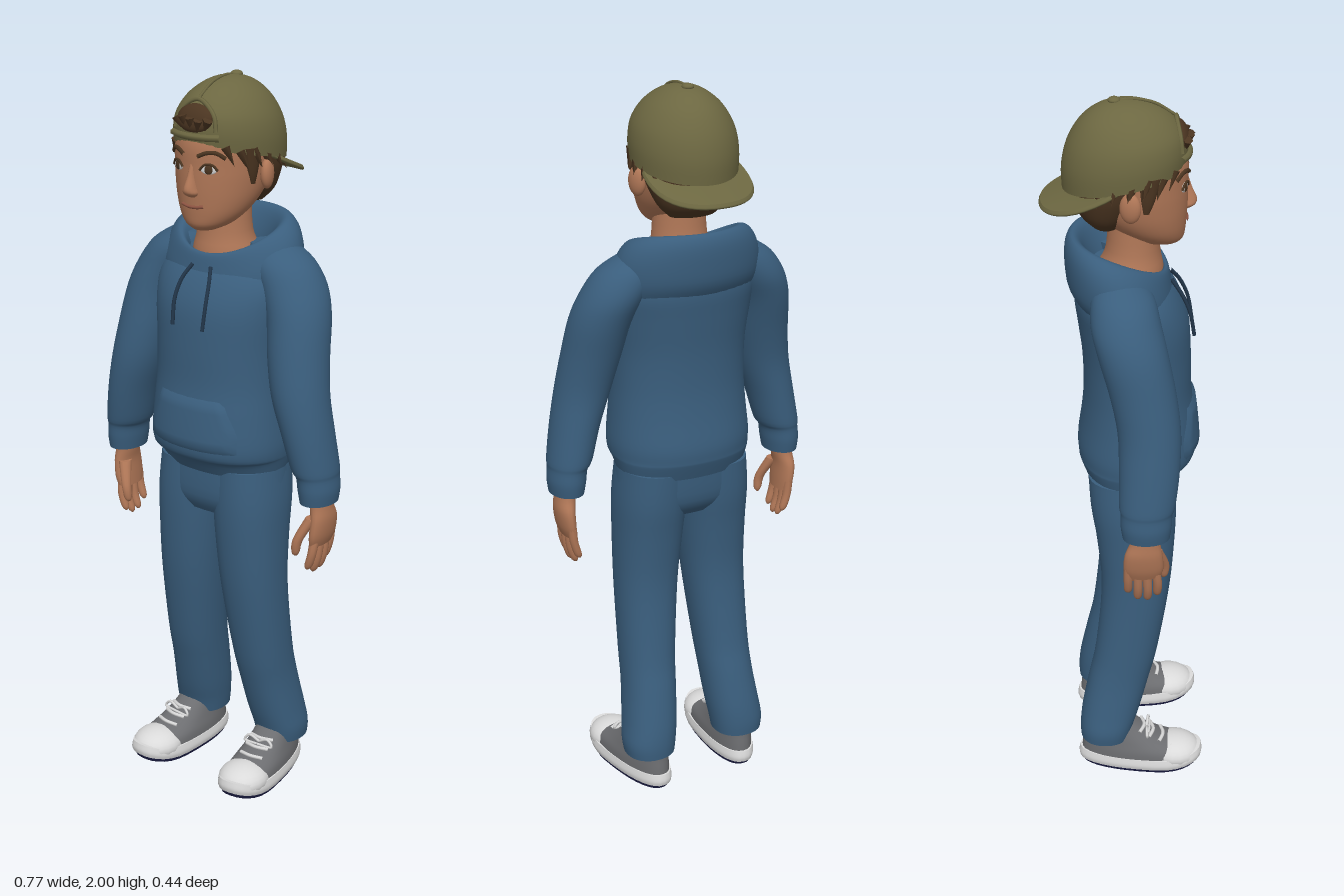
import * as THREE from 'three';

const paint = (name, color) => Object.assign(new THREE.MeshStandardMaterial({ color }), { name });

// Smooths a list of sections [y, cx, cz, rx, rz] with a Catmull-Rom rule.
function smooth(secs, sub = 4) {
  const out = [], last = secs.length - 1;
  for (let i = 0; i < last; i++) {
    const [a, b, c, d] = [Math.max(i - 1, 0), i, i + 1, Math.min(i + 2, last)].map(k => secs[k]);
    for (let k = 0; k < sub; k++) {
      const t = k / sub;
      out.push(b.map((v, q) => v + 0.5 * t * (c[q] - a[q] + t * (2 * a[q] - 5 * v + 4 * c[q] - d[q]
        + t * (3 * (v - c[q]) + d[q] - a[q])))));
    }
  }
  return [...out, secs[last]];
}

// Lofts rounded cross-sections, bottom to top; bend(v) may move each vertex.
function loft(secs, { n = 32, pow = 2, bend = null, caps = true, sub = 4 } = {}) {
  const rows = smooth(secs, sub), pos = [], idx = [], v = new THREE.Vector3();
  const put = (x, y, z) => { v.set(x, y, z); if (bend) bend(v); pos.push(v.x, v.y, v.z); };
  const round = c => Math.sign(c) * Math.abs(c) ** (2 / pow);
  const ring = ([y, cx, cz, rx, rz]) => {
    for (let j = 0; j < n; j++) {
      const t = j / n * Math.PI * 2;
      put(cx + rx * round(Math.cos(t)), y, cz + rz * round(Math.sin(t)));
    }
  };
  rows.forEach(ring);
  for (let i = 0; i < rows.length - 1; i++) for (let j = 0; j < n; j++) {
    const a = i * n + j, b = i * n + (j + 1) % n;
    idx.push(a, a + n, b, b, a + n, b + n);
  }
  if (caps) [rows[0], rows[rows.length - 1]].forEach((s, top) => {
    const base = pos.length / 3;
    ring(s);
    put(s[1], s[0], s[2]);
    for (let j = 0; j < n; j++) {
      const a = base + j, b = base + (j + 1) % n;
      idx.push(base + n, top ? b : a, top ? a : b);
    }
  });
  return finish(pos, idx);
}

function finish(pos, idx) {
  const g = new THREE.BufferGeometry();
  g.setAttribute('position', new THREE.Float32BufferAttribute(pos, 3));
  g.setIndex(idx);
  g.computeVertexNormals();
  return g;
}

// Front surface point of a loft at (x, y), pushed out by off.
function onFront(secs, x, y, off = 0, pow = 2) {
  const rows = smooth(secs);
  const i = Math.max(1, rows.findIndex(r => r[0] >= y)), a = rows[i - 1], b = rows[i];
  const s = a.map((q, k) => q + (b[k] - q) * (y - a[0]) / (b[0] - a[0]));
  const u = Math.min(0.98, Math.abs((x - s[1]) / s[3]));
  return new THREE.Vector3(x, y, s[2] + s[4] * (1 - u ** pow) ** (1 / pow) + off);
}

const tube = (pts, r, seg = 16) => new THREE.TubeGeometry(new THREE.CatmullRomCurve3(pts), seg, r, 6);
const V = (x, y, z) => new THREE.Vector3(x, y, z);

export function createModel() {
  const root = new THREE.Group();
  root.name = 'boy';
  const blue = paint('blue cloth', 0x3a5e7d), olive = paint('olive cloth', 0x6c6741), skin = paint('skin', 0xb07757),
    brown = paint('brown hair', 0x4b3521), grey = paint('grey canvas', 0x6c6d70), white = paint('white rubber', 0xdadada),
    navy = paint('navy', 0x1d1f48), lip = paint('lip', 0x8f5543), cord = paint('dark cord', 0x22364a);
  const add = (name, geo, mat, parent = root) => {
    const m = new THREE.Mesh(geo, mat);
    m.name = name;
    parent.add(m);
    return m;
  };
  const ball = (name, mat, p, r, parent = root) => {
    const m = add(name, new THREE.SphereGeometry(1, 20, 14), mat, parent);
    m.position.set(...p);
    m.scale.set(...r);
    return m;
  };

  // Sweater body with a gathered hem
  const torso = [[0.945, 0, 0.015, 0.183, 0.125], [0.985, 0, 0.02, 0.194, 0.145], [1.0, 0, 0.03, 0.198, 0.158],
    [1.04, 0, 0.033, 0.2, 0.162], [1.12, 0, 0.035, 0.193, 0.153], [1.2, 0, 0.033, 0.187, 0.145],
    [1.3, 0, 0.03, 0.187, 0.145], [1.4, 0, 0.02, 0.197, 0.147], [1.47, 0, 0.003, 0.2, 0.138],
    [1.52, 0, -0.012, 0.175, 0.115], [1.55, 0, -0.02, 0.12, 0.075]];
  add('hoodieBody', loft(torso, { n: 40, pow: 2.2 }), blue);

  // Hood lying around the neck, low at the front and high behind
  const hood = [[1.45, 0, -0.02, 0.18, 0.1], [1.5, 0, -0.015, 0.205, 0.135], [1.56, 0, -0.015, 0.207, 0.143],
    [1.61, 0, -0.018, 0.188, 0.138], [1.637, 0, -0.015, 0.158, 0.126], [1.625, 0, -0.01, 0.132, 0.108],
    [1.57, 0, -0.005, 0.105, 0.09], [1.5, 0, 0, 0.09, 0.08]];
  add('hood', loft(hood, { n: 40, caps: false, bend: v => {
    const f = THREE.MathUtils.clamp((v.z + 0.15) / 0.27, 0, 1.1);
    v.y -= 0.1 * f * f;
  } }), blue).material.side = THREE.DoubleSide;

  // Front pocket laid over the body
  const pos = [], idx = [], cols = 16, rows = 8;
  for (let i = 0; i <= rows; i++) for (let j = 0; j <= cols; j++) {
    const y = 1.02 + 0.155 * i / rows, half = i < 3 ? 0.15 : 0.15 - 0.045 * (i - 3) / 5;
    const edge = i === 0 || i === rows || j === 0 || j === cols;
    pos.push(...onFront(torso, half * (2 * j / cols - 1), y, edge ? -0.004 : 0.008, 2.2).toArray());
    if (i < rows && j < cols) {
      const a = i * (cols + 1) + j, b = a + cols + 1;
      idx.push(a, a + 1, b, b, a + 1, b + 1);
    }
  }
  add('pocket', finish(pos, idx), blue);

  // Hips
  add('hips', loft([[0.82, 0, 0.025, 0.17, 0.09], [0.87, 0, 0.02, 0.19, 0.118], [0.97, 0, 0.015, 0.186, 0.122]],
    { pow: 2.3 }), blue);

  // Neck and chest, then the head
  add('neck', loft([[1.47, 0, 0, 0.1, 0.1], [1.54, 0, 0.012, 0.092, 0.088], [1.6, 0, 0.02, 0.075, 0.07],
    [1.72, 0, 0.02, 0.07, 0.065]]), skin);
  const head = [[1.613, 0, 0.1, 0.03, 0.035], [1.628, 0, 0.085, 0.06, 0.065], [1.655, 0, 0.065, 0.086, 0.09],
    [1.69, 0, 0.045, 0.104, 0.113], [1.73, 0, 0.03, 0.115, 0.13], [1.78, 0, 0.02, 0.122, 0.14],
    [1.85, 0, 0.01, 0.124, 0.146], [1.92, 0, 0, 0.1, 0.11], [1.97, 0, 0, 0.03, 0.03]];
  add('head', loft(head, { n: 40 }), skin);
  add('nose', loft([[1.705, 0, 0.155, 0.012, 0.01], [1.715, 0, 0.158, 0.021, 0.022], [1.73, 0, 0.158, 0.017, 0.025],
    [1.76, 0, 0.155, 0.01, 0.015], [1.79, 0, 0.152, 0.008, 0.008]], { n: 16 }), skin);
  add('mouth', tube([-0.034, -0.015, 0, 0.015, 0.034].map(x =>
    onFront(head, x, 1.678 + 3 * x * x, 0.001)), 0.0045), lip);

  // Sleeves, hands, legs and shoes, once for each side
  for (const s of [1, -1]) {
    const side = secs => secs.map(([y, x, ...r]) => [y, s * x, ...r]);
    const p = s > 0 ? 'left' : 'right';
    add(p + 'Sleeve', loft(side([[0.915, 0.335, 0.043, 0.046, 0.062], [0.95, 0.334, 0.043, 0.051, 0.067],
      [0.985, 0.33, 0.044, 0.052, 0.068], [1.01, 0.322, 0.046, 0.06, 0.074], [1.1, 0.302, 0.052, 0.066, 0.079],
      [1.2, 0.276, 0.052, 0.075, 0.082], [1.3, 0.256, 0.036, 0.08, 0.086], [1.4, 0.238, 0.012, 0.083, 0.09],
      [1.47, 0.208, -0.005, 0.088, 0.09], [1.53, 0.165, -0.012, 0.09, 0.08], [1.57, 0.13, -0.02, 0.065, 0.055]])), blue);

    const hand = new THREE.Group();
    hand.name = p + 'Hand';
    root.add(hand);
    add('palm', loft(side([[0.79, 0.336, 0.036, 0.017, 0.046], [0.82, 0.342, 0.036, 0.022, 0.053],
      [0.865, 0.346, 0.036, 0.025, 0.05], [0.9, 0.342, 0.04, 0.027, 0.04], [0.94, 0.338, 0.042, 0.028, 0.036]]),
      { n: 20 }), skin, hand);
    [0.73, 0.708, 0.705, 0.72].forEach((tip, i) => {
      const z = -0.004 + 0.026 * i;
      add('finger', loft(side([[tip, 0.322, z, 0.004, 0.004], [tip + 0.012, 0.326, z, 0.011, 0.011],
        [tip + 0.05, 0.337, z, 0.012, 0.0125], [0.82, 0.341, z * 0.9, 0.013, 0.013]]), { n: 10 }), skin, hand);
    });
    add('thumb', loft(side([[0.76, 0.296, 0.092, 0.004, 0.004], [0.772, 0.297, 0.094, 0.011, 0.011],
      [0.81, 0.304, 0.092, 0.014, 0.014], [0.87, 0.33, 0.066, 0.017, 0.02]]), { n: 12 }), skin, hand);

    add(p + 'TrouserLeg', loft(side([[0.1, 0.143, -0.062, 0.071, 0.072], [0.14, 0.142, -0.058, 0.076, 0.077],
      [0.2, 0.134, -0.045, 0.076, 0.083], [0.3, 0.124, -0.022, 0.075, 0.086], [0.4, 0.118, 0, 0.078, 0.088],
      [0.6, 0.107, 0.025, 0.087, 0.095], [0.75, 0.1, 0.026, 0.094, 0.107], [0.86, 0.096, 0.02, 0.098, 0.117],
      [0.96, 0.09, 0.015, 0.095, 0.118]]), { pow: 2.2 }), blue);

    const shoe = new THREE.Group();
    shoe.name = p + 'Shoe';
    shoe.position.x = s * 0.145;
    shoe.rotation.y = s * 0.1;
    root.add(shoe);
    // wider, slightly lifted toe
    const bend = v => {
      v.x *= 1 + 0.9 * (v.z - 0.04);
      v.y += 1.6 * Math.max(0, v.z - 0.1) ** 2;
    };
    add('outsole', loft([[0, 0, 0.04, 0.064, 0.168], [0.014, 0, 0.04, 0.069, 0.176]], { bend, pow: 2.4, sub: 1 }), navy, shoe);
    add('midsole', loft([[0.012, 0, 0.04, 0.07, 0.178], [0.026, 0, 0.04, 0.073, 0.181], [0.046, 0, 0.04, 0.07, 0.177]],
      { bend, pow: 2.4 }), white, shoe);
    const upper = [[0.04, 0, 0.035, 0.068, 0.167], [0.065, 0, 0.025, 0.066, 0.155], [0.09, 0, -0.005, 0.06, 0.122],
      [0.115, 0, -0.03, 0.055, 0.095], [0.145, 0, -0.05, 0.05, 0.07]];
    add('upper', loft(upper, { bend, pow: 2.3 }), grey, shoe);
    ball('toeCap', white, [0, 0.045, 0.138], [0.071, 0.046, 0.078], shoe);
    for (const y of [0.083, 0.097, 0.111, 0.127])
      add('lace', tube([-0.036, 0, 0.036].map(x => onFront(upper, x, y - 0.1 * Math.abs(x), 0.005, 2.3)), 0.0055, 8), white, shoe);
    for (const k of [1, -1])
      add('laceBow', tube([V(0, 0.12, 0.058), V(k * 0.03, 0.133, 0.06), V(k * 0.045, 0.115, 0.062), V(0, 0.114, 0.066)], 0.004), white, shoe);

    // Drawstring
    add(p + 'Drawstring', tube([[0.03, 1.515], [0.045, 1.48], [0.052, 1.43], [0.05, 1.36]].map(([x, y]) =>
      onFront(torso, s * x, y, 0.012, 2.2)), 0.0055), cord);

    // Ear, eye and brow
    ball(p + 'Ear', skin, [s * 0.128, 1.757, 0.008], [0.017, 0.04, 0.028]).rotation.y = s * 0.35;
    const eye = new THREE.Group();
    eye.name = p + 'Eye';
    eye.position.copy(onFront(head, s * 0.049, 1.78));
    eye.rotation.y = s * 0.4;
    root.add(eye);
    ball('eyeWhite', white, [0, 0, 0], [0.022, 0.013, 0.004], eye);
    ball('iris', brown, [0, 0, 0.002], [0.0115, 0.0125, 0.004], eye);
    add('upperLid', tube([V(-0.024, -0.002, 0.001), V(-0.01, 0.012, 0.004), V(0.01, 0.012, 0.004), V(0.024, -0.002, 0.001)], 0.0035), brown, eye);
    add(p + 'Brow', tube([[0.022, 1.812], [0.045, 1.822], [0.066, 1.822], [0.084, 1.808]].map(([x, y]) =>
      onFront(head, s * x, y, 0.001)), 0.006), brown);

    // Locks poking out below the cap
    for (let i = 0; i < 6; i++) {
      const a = 0.85 - i * 0.27;
      const lock = add(p + 'Lock', new THREE.ConeGeometry(0.016, 0.055, 6), brown);
      lock.position.set(s * 0.133 * Math.cos(a), 1.797 + 0.02 * Math.sin(a) - 0.008 * (i % 2), 0.148 * Math.sin(a));
      lock.rotation.set(0.25, 0, Math.PI + s * 0.35);
    }
    add(p + 'Sideburn', loft(side([[1.735, 0.113, 0.048, 0.004, 0.008], [1.77, 0.113, 0.05, 0.011, 0.02],
      [1.83, 0.114, 0.05, 0.014, 0.035]]), { n: 12 }), brown);
  }

  // Hair at the back
  add('backHair', loft([[1.668, 0, -0.05, 0.065, 0.04], [1.7, 0, -0.05, 0.096, 0.07], [1.75, 0, -0.04, 0.118, 0.098],
    [1.79, 0, -0.028, 0.126, 0.118], [1.83, 0, -0.015, 0.127, 0.13]]), brown);

  // Cap worn backwards: crown, brim, seam, button
  const crown = [[1.8, 0, -0.003, 0.138, 0.158], [1.85, 0, -0.002, 0.139, 0.16], [1.9, 0, 0, 0.128, 0.149],
    [1.945, 0, 0, 0.1, 0.12], [1.975, 0, 0, 0.065, 0.082], [1.99, 0, 0, 0.034, 0.042], [1.995, 0, 0, 0.004, 0.005]];
  add('capCrown', loft(crown, { n: 40, bend: v => { v.y += v.z * (2 - v.y); } }), olive);
  add('capBrim', loft([[1.77, 0, -0.08, 0.138, 0.137], [1.776, 0, -0.08, 0.142, 0.141], [1.784, 0, -0.08, 0.138, 0.137]],
    { n: 40, pow: 2.2, bend: v => { v.y += 0.42 * (v.z + 0.1) - 0.8 * v.x * v.x; } }), olive);
  ball('capButton', olive, [0, 1.993, -0.028], [0.016, 0.009, 0.016]);
  add('capSeam', tube([V(0, 1.955, 0.122), V(0, 1.986, 0.07), V(0, 1.995, 0), V(0, 1.97, -0.07), V(0, 1.92, -0.124),
    V(0, 1.85, -0.155)], 0.004, 30), olive);

  // Opening with hair showing, framed by an arch and a strap
  ball('foreheadHair', brown, [0, 1.903, 0.14], [0.056, 0.038, 0.021]).rotation.x = -0.35;
  add('capArch', tube([V(-0.066, 1.875, 0.14), V(-0.055, 1.915, 0.135), V(0, 1.95, 0.127), V(0.055, 1.915, 0.135),
    V(0.066, 1.875, 0.14)], 0.006, 24), olive);
  add('capStrap', tube([-0.075, -0.04, 0, 0.04, 0.075].map(x => V(x, 1.86, 0.162 - 4.3 * x * x)), 0.009, 20), olive);
  for (let i = -2; i <= 2; i++) {
    const tuft = add('foreheadTuft', new THREE.ConeGeometry(0.013, 0.045, 6), brown);
    tuft.position.set(i * 0.02, 1.886 - 0.004 * (i % 2), 0.158 - 0.002 * i * i);
    tuft.rotation.set(0.2, 0, Math.PI - i * 0.25);
  }
  return root;
}
